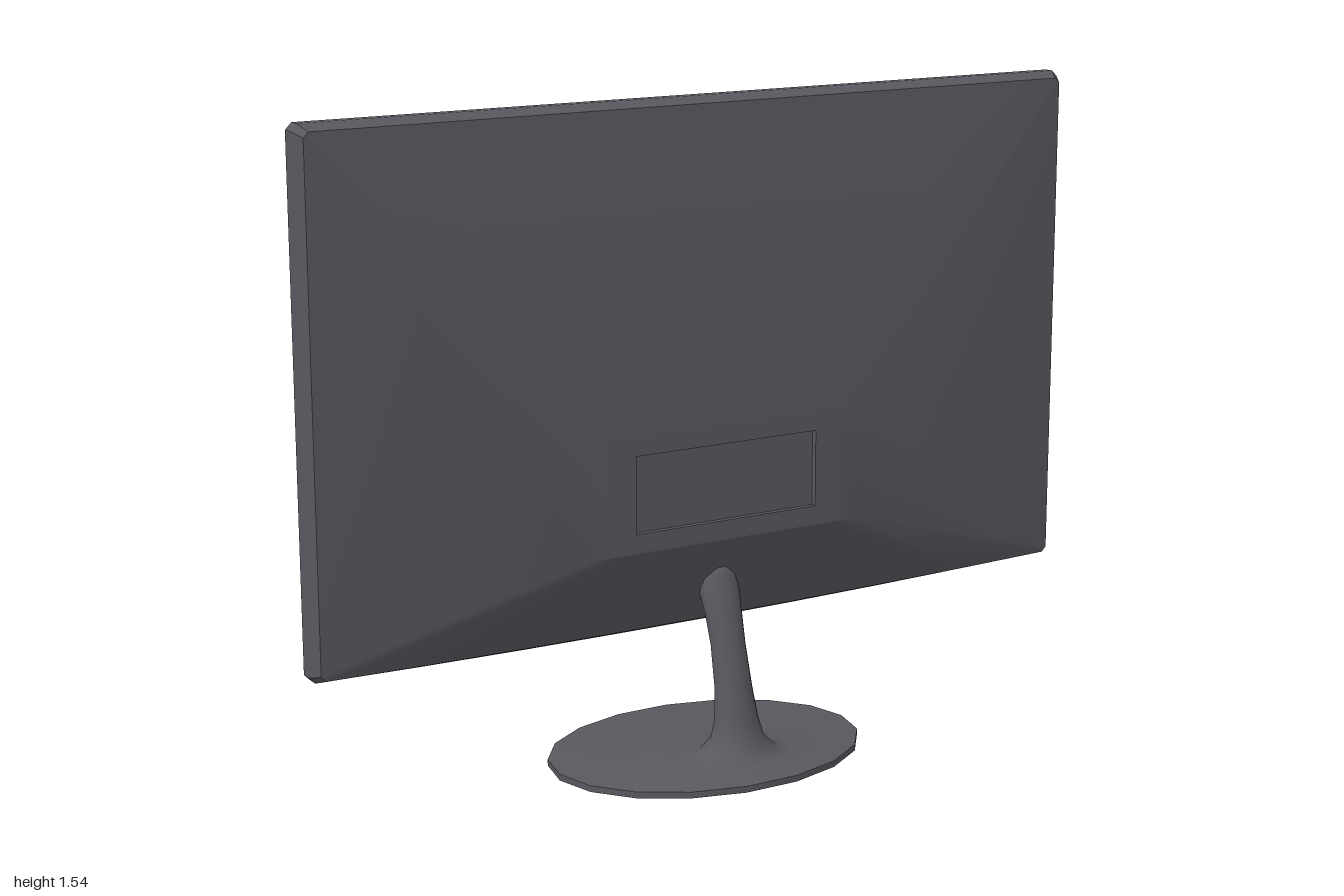
import * as THREE from 'three';
import { toCreasedNormals } from 'three/addons/utils/BufferGeometryUtils.js';

const bodyMat = new THREE.MeshStandardMaterial({ color: 0x5a585f });
const screenMat = new THREE.MeshStandardMaterial({ color: 0x2a2a2a });

// Skin a list of closed rings that all have the same number of points
function loft(rings, crease) {
  const n = rings[0].length;
  const index = [];
  for (let i = 0; i < rings.length - 1; i++) {
    for (let j = 0; j < n; j++) {
      const k = (j + 1) % n;
      const a = i * n + j, b = i * n + k, c = (i + 1) * n + k, d = (i + 1) * n + j;
      index.push(a, b, c, a, c, d);
    }
  }
  const geo = new THREE.BufferGeometry();
  geo.setAttribute('position', new THREE.Float32BufferAttribute(rings.flat(2), 3));
  geo.setIndex(index);
  geo.computeVertexNormals();
  return crease ? toCreasedNormals(geo, crease) : geo;
}

// Rectangle with cut corners and a bottom edge that sags in the middle
function outline(x, y0, y1, z, cut = 0, sag = 0) {
  const pts = [], steps = 8;
  for (let i = 0; i <= steps; i++) {
    const t = (i / steps) * 2 - 1;
    pts.push([t * (x - cut), y0 - sag * (1 - t * t), z]);
  }
  pts.push([x, y0 + cut, z], [x, y1 - cut, z]);
  for (let i = 0; i <= steps; i++) pts.push([(1 - (i / steps) * 2) * (x - cut), y1, z]);
  pts.push([-x, y1 - cut, z], [-x, y0 + cut, z]);
  return pts;
}

// Horizontal 18-sided ellipse
function ellipse(y, cz, rx, rz) {
  return Array.from({ length: 18 }, (_, i) => {
    const a = (i / 18) * Math.PI * 2;
    return [rx * Math.cos(a), y, cz - rz * Math.sin(a)];
  });
}

function add(parent, name, geo, mat = bodyMat) {
  const mesh = new THREE.Mesh(geo, mat);
  mesh.name = name;
  parent.add(mesh);
}

export function createModel() {
  const model = new THREE.Group();
  model.name = 'monitor';

  // Bezel and side walls
  add(model, 'bezelFrame', loft([
    outline(0.945, 0.392, 1.487, -0.018),
    outline(0.952, 0.385, 1.494, -0.03),
    outline(0.995, 0.343, 1.54, -0.03, 0.014, 0.013),
    outline(1, 0.338, 1.545, -0.025, 0.015, 0.013),
    outline(1, 0.338, 1.545, 0, 0.015, 0.013),
    outline(0.984, 0.348, 1.53, 0.03, 0.012, 0.01),
  ], 0.4));

  // Display panel, facing -z
  const screen = new THREE.PlaneGeometry(1.892, 1.097);
  screen.rotateY(Math.PI);
  screen.translate(0, 0.9395, -0.0185);
  add(model, 'screen', screen, screenMat);

  // Tapered rear cover rising to a flat plateau
  add(model, 'rearCover', loft([
    outline(0.984, 0.348, 1.53, 0.03, 0.012, 0.01),
    outline(0.36, 0.54, 0.81, 0.1),
    outline(0.285, 0.54, 0.805, 0.1),
  ], 0.4));

  // Flat plate with the sunken connector bay
  add(model, 'connectorBay', loft([
    outline(0.285, 0.54, 0.81, 0.1),
    outline(0.24, 0.585, 0.765, 0.1),
    outline(0.24, 0.585, 0.765, 0.086),
    outline(0, 0.675, 0.675, 0.086),
  ], 0.4));

  // Stand: flat foot rim, then one smooth surface from foot to neck
  const stand = new THREE.Group();
  stand.name = 'stand';
  model.add(stand);
  add(stand, 'footRim', loft([
    ellipse(0, 0, 0, 0),
    ellipse(0, 0, 0.39, 0.295),
    ellipse(0.015, 0, 0.39, 0.295),
  ], 0.5));
  add(stand, 'footAndNeck', loft([
    ellipse(0.015, 0, 0.39, 0.295),
    ellipse(0.026, 0.07, 0.25, 0.19),
    ellipse(0.035, 0.133, 0.135, 0.103),
    ellipse(0.047, 0.142, 0.093, 0.073),
    ellipse(0.08, 0.142, 0.065, 0.052),
    ellipse(0.12, 0.138, 0.054, 0.043),
    ellipse(0.19, 0.126, 0.046, 0.037),
    ellipse(0.29, 0.102, 0.042, 0.036),
    ellipse(0.36, 0.082, 0.045, 0.036),
    ellipse(0.41, 0.064, 0.05, 0.036),
    ellipse(0.445, 0.053, 0.044, 0.032),
    ellipse(0.467, 0.053, 0.025, 0.024),
    ellipse(0.473, 0.053, 0, 0),
  ]));
  return model;
}
